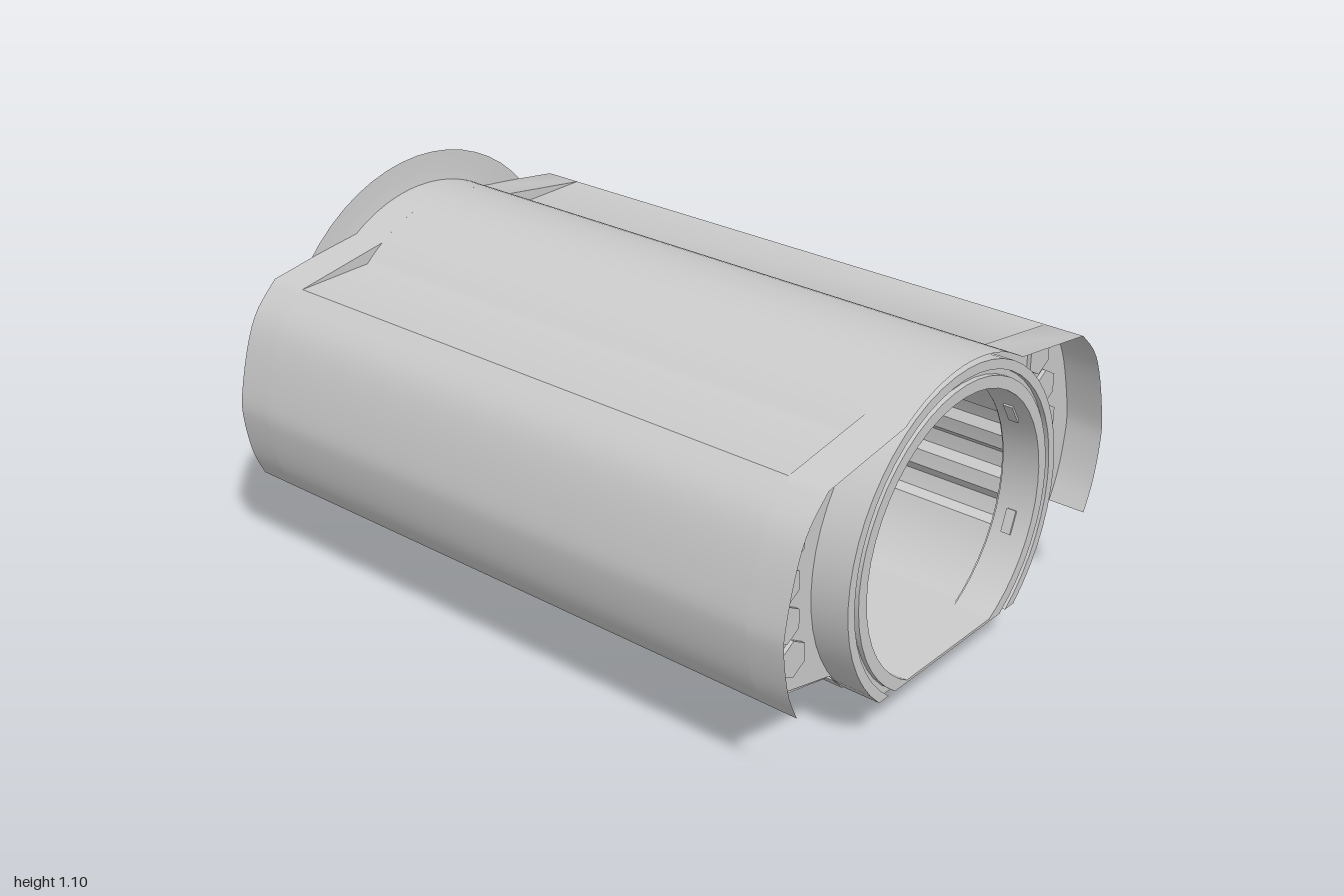
import * as THREE from 'three';
import { toCreasedNormals } from 'three/addons/utils/BufferGeometryUtils.js';

const CY = 0.51;      // height of the bore axis
const FLOOR = 0.15;   // height of the flat underside
const CAP = 0.885;    // where the end plates sit
const mat = new THREE.MeshStandardMaterial({ color: 0xcccccc, side: THREE.DoubleSide });

// Profiles are lists of [z, y], running from +z over the top to -z.
const arc = (r, t0, t1, n = 40) => Array.from({ length: n + 1 }, (_, i) => {
  const t = t0 + (t1 - t0) * i / n;
  return [r * Math.sin(t), CY + r * Math.cos(t)];
});
const cut = r => Math.PI - Math.acos((CY - FLOOR) / r);   // angle at which a circle meets the floor
const cArc = (r, n) => arc(r, cut(r), -cut(r), n);
const mirrored = half => [...half, ...half.map(([z, y]) => [-z, y]).reverse()];

// Surface through rows of [x, profile]
function loft(rows, crease = 0.7) {
  const n = rows[0][1].length, pos = [], idx = [];
  for (const [x, profile] of rows) for (const [z, y] of profile) pos.push(x, y, z);
  for (let r = 0; r < rows.length - 1; r++) {
    for (let i = 0; i < n - 1; i++) {
      const a = r * n + i, b = a + n;
      idx.push(a, b, b + 1, a, b + 1, a + 1);
    }
  }
  const g = new THREE.BufferGeometry();
  g.setAttribute('position', new THREE.Float32BufferAttribute(pos, 3));
  g.setIndex(idx);
  return toCreasedNormals(g, crease);
}

// Flat profile given thickness along +x from x0
function slab(points, x0, depth) {
  const shape = new THREE.Shape(points.map(([z, y]) => new THREE.Vector2(z, y)));
  const g = new THREE.ExtrudeGeometry(shape, { depth, bevelEnabled: false });
  g.rotateY(Math.PI / 2).translate(x0, 0, 0);
  return toCreasedNormals(g, 0.6);
}

export function createModel() {
  const model = new THREE.Group();
  const add = (name, geometry, parent = model) => {
    const mesh = new THREE.Mesh(geometry, mat);
    mesh.name = name;
    parent.add(mesh);
    return mesh;
  };

  // Curved side panel, bottom to top
  const side = new THREE.SplineCurve([
    [0.685, 0.29], [0.722, 0.375], [0.744, 0.49], [0.742, 0.57],
    [0.705, 0.715], [0.66, 0.81], [0.585, 0.885],
  ].map(p => new THREE.Vector2(...p))).getPoints(20).map(p => [p.x, p.y]);

  // Main body: the top has a level step beside the crown
  const crownAt = z => arc(0.502, Math.asin(z / 0.502), 0, 14);
  const bodyHalf = [[0.33, FLOOR], [0.36, 0.185], [0.4, 0.217], [0.64, 0.272], [0.67, 0.28],
    ...side, ...crownAt(0.333)];
  add('bodyShell', loft([[-CAP, mirrored(bodyHalf)], [CAP, mirrored(bodyHalf)]]));

  // Open skirts past the end plates, ramped up to the crown
  const skirtHalf = [...side, ...crownAt(0.27)];
  const skirt = mirrored(skirtHalf);
  add('leftSkirt', loft([[CAP, skirt], [1, skirt]]));
  add('rightSkirt', loft([[-1, skirt], [-CAP, skirt]]));

  // Flat underside, also the floor of the bore
  const floor = new THREE.BoxGeometry(1.77, 0.008, 0.66);
  floor.translate(0, FLOOR + 0.004, 0);
  add('floor', floor);
  const tongue = new THREE.BoxGeometry(1.97, 0.008, 0.44);
  tongue.translate(0.015, FLOOR + 0.004, 0);
  add('floorTongue', tongue);

  // Bore lining with shallow lengthwise grooves in both walls
  const lining = cArc(0.422, 96).map(([z, y]) => {
    const h = y - CY;
    const k = [-0.14, 0, 0.14].some(c => Math.abs(h - c) < 0.035) ? 1.05 : 1;
    return [z * k, CY + h * k];
  });
  add('boreLining', loft([[-CAP, lining], [CAP, lining]], 0.5));

  // End plates, collars and hexagonal relief at both ends
  const plate = [[0.33, FLOOR], [0.39, 0.217], ...skirt, [-0.39, 0.217], [-0.33, FLOOR],
    ...cArc(0.41).reverse()];
  const ring = (r0, r1) => [...cArc(r1), ...cArc(r0).reverse()];
  for (const s of [-1, 1]) {
    const end = new THREE.Group();
    end.name = s > 0 ? 'leftEnd' : 'rightEnd';
    model.add(end);
    const put = (name, points, x0, depth) =>
      add(name, slab(points, s > 0 ? x0 : -x0 - depth, depth), end);
    const reach = s > 0 ? 0.115 : 0.08;

    put('endPlate', plate, CAP - 0.006, 0.006);
    put('innerCollar', ring(0.405, 0.44), CAP, reach);
    put('collarGroove', ring(0.44, 0.457), CAP, reach - 0.015);
    put('outerCollar', ring(0.457, 0.485), CAP, reach);

    for (const m of [-1, 1]) {
      // Hexagons following the side panel
      for (let i = 0; i < 5; i++) {
        const y = 0.36 + i * 0.112, z = m * (0.6 - 0.9 * (y - 0.55) ** 2);
        const hex = Array.from({ length: 6 }, (_, k) => {
          const a = (k + 0.5) * Math.PI / 3;
          return [z + 0.055 * Math.cos(a), y + 0.055 * Math.sin(a)];
        });
        put('hexagonRelief', hex, CAP, 0.012);
      }
      // Small latches on the inside of the collar
      for (const t of [1.02, 1.93]) {
        const latch = new THREE.BoxGeometry(0.03, 0.012, 0.07);
        latch.rotateX(t * m);
        latch.translate(s * (CAP + 0.05), CY + 0.404 * Math.cos(t), m * 0.404 * Math.sin(t));
        add('latch', latch, end);
      }
    }
  }

  // Flared horn around the right-hand opening, flat along its bottom
  const t = Math.PI - 0.54;
  const hornLoop = r => {
    const p = arc(r, t, -t, 48);
    return [...p, p[0]];
  };
  add('horn', loft([[-1, 0.594], [-0.997, 0.55], [-0.99, 0.49], [-0.98, 0.445], [-0.955, 0.42]]
    .map(([x, r]) => [x, hornLoop(r)])));

  return model;
}
